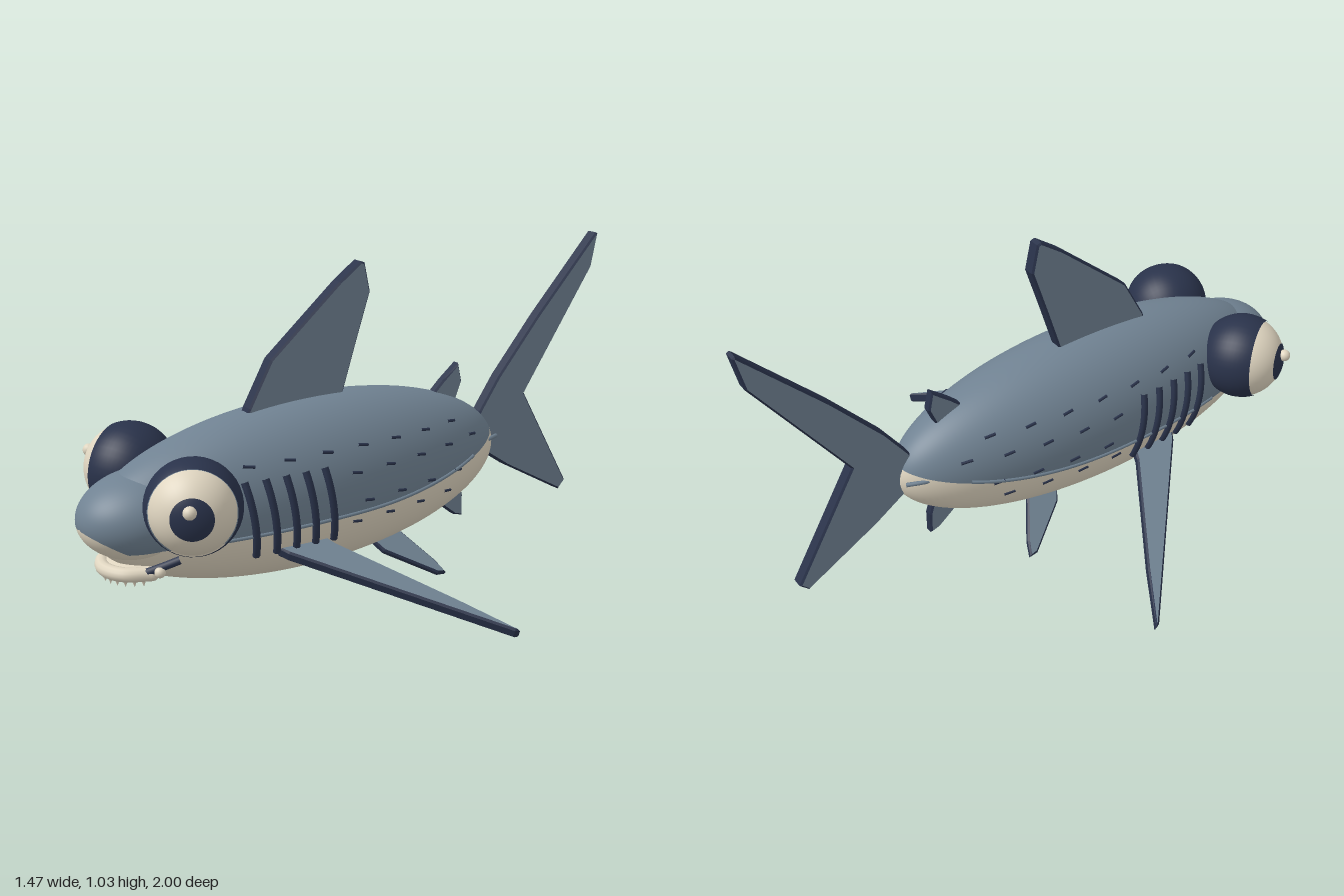
import * as THREE from 'three';

const mat = (name, color, side = THREE.FrontSide) => {
  const m = new THREE.MeshStandardMaterial({ color, side });
  m.name = name;
  return m;
};

export function createModel() {
  const root = new THREE.Group();
  const slate = mat('slate', 0x708292);
  const navy = mat('navy', 0x29324a);
  const cream = mat('cream', 0xdfd5c0);
  slate.side = cream.side = THREE.DoubleSide;

  const add = (name, geo, material, parent = root) => {
    const m = new THREE.Mesh(geo, material);
    m.name = name;
    parent.add(m);
    return m;
  };
  const V = (x, y, z) => new THREE.Vector3(x, y, z);
  const tube = (pts, r, seg = 12) =>
    new THREE.TubeGeometry(new THREE.CatmullRomCurve3(pts), seg, r, 8);

  // Ellipsoid split into an upper or lower shell along a height that varies with z
  function shell({ cy, cz, rx, ry, rz, edge }, upper) {
    const N = 64, M = 40, pos = [], nor = [], idx = [];
    for (let i = 0; i <= N; i++) {
      const phi = Math.PI * (0.001 + 0.998 * i / N), s = Math.sin(phi), z = cz + rz * Math.cos(phi);
      const a0 = Math.asin(THREE.MathUtils.clamp((edge(z) - cy) / (ry * s), -1, 1));
      const from = upper ? a0 : Math.PI - a0, to = upper ? Math.PI - a0 : 2 * Math.PI + a0;
      for (let j = 0; j <= M; j++) {
        const a = from + (to - from) * j / M, x = rx * s * Math.cos(a), y = ry * s * Math.sin(a);
        pos.push(x, cy + y, z);
        const n = V(x / rx ** 2, y / ry ** 2, (z - cz) / rz ** 2).normalize();
        nor.push(n.x, n.y, n.z);
        if (i < N && j < M) {
          const p = i * (M + 1) + j, q = p + M + 1;
          idx.push(p, q, p + 1, p + 1, q, q + 1);
        }
      }
    }
    const g = new THREE.BufferGeometry();
    g.setAttribute('position', new THREE.Float32BufferAttribute(pos, 3));
    g.setAttribute('normal', new THREE.Float32BufferAttribute(nor, 3));
    // Corners run counter-clockwise seen from outside
    g.setIndex(idx);
    return g;
  }

  // Body and snout, slate above and cream below
  const body = {
    cy: 0.36, cz: 0.22, rx: 0.235, ry: 0.275, rz: 0.745,
    edge: z => 0.3 + 0.11 * Math.max(0, (0.15 - z) / 0.67) ** 2,
  };
  const snout = {
    cy: 0.375, cz: 0.79, rx: 0.165, ry: 0.135, rz: 0.21,
    edge: z => 0.3 + 0.65 * Math.max(0, z - 0.9),
  };
  add('back', shell(body, true), slate);
  add('belly', shell(body, false), cream);
  add('snoutTop', shell(snout, true), slate);
  add('snoutUnderside', shell(snout, false), cream);

  // Point on the flank at a given height and z
  const flank = (y, z, side, out = 0) => {
    const q = 1 - ((y - body.cy) / body.ry) ** 2 - ((z - body.cz) / body.rz) ** 2;
    return V(side * (body.rx * Math.sqrt(Math.max(0, q)) + out), y, z);
  };

  // Flat fin with slate faces and navy rim, centred on its plane
  function finGeometry(points, t) {
    const b = 0.006;
    const g = new THREE.ExtrudeGeometry(new THREE.Shape(points.map(p => new THREE.Vector2(...p))), {
      depth: t - 2 * b, bevelEnabled: true, bevelThickness: b, bevelSize: b, bevelOffset: -b, bevelSegments: 1,
    });
    return g.translate(0, 0, b - t / 2);
  }
  const finMats = [slate, navy];

  // Upright fins, outlined as [z, y]
  const uprightFin = (name, pts, t) =>
    add(name, finGeometry(pts.map(([z, y]) => [-z, y]), t).rotateY(Math.PI / 2), finMats);
  uprightFin('dorsalFin', [[0.45, 0.6], [0.435, 0.635], [0.355, 0.775], [0.1, 0.985], [0.02, 1.04],
    [0.005, 1.035], [-0.015, 0.94], [0.04, 0.78], [0.1, 0.6]], 0.046);
  uprightFin('rearDorsalFin', [[-0.25, 0.5], [-0.27, 0.55], [-0.32, 0.595], [-0.385, 0.645],
    [-0.4, 0.58], [-0.375, 0.52], [-0.39, 0.46]], 0.034);
  uprightFin('analFin', [[-0.26, 0.24], [-0.3, 0.165], [-0.38, 0.1], [-0.415, 0.09],
    [-0.415, 0.165], [-0.39, 0.25]], 0.034);
  uprightFin('tailFin', [[-0.44, 0.37], [-0.48, 0.46], [-0.56, 0.57], [-0.73, 0.76], [-0.99, 1.025],
    [-1, 1.02], [-0.975, 0.905], [-0.68, 0.49], [-0.895, 0.12], [-0.865, 0.09], [-0.61, 0.235],
    [-0.5, 0.31]], 0.046);

  // Paired fins, outlined as [x, z] and sloping down from the root
  function pairedFin(name, pts, rootX, rootY, slope, t, side) {
    const flat = pts.map(([x, z]) => [side * (x - rootX) / Math.cos(slope), -z]);
    const g = finGeometry(flat, t).rotateX(-Math.PI / 2).rotateZ(-side * slope);
    add(name, g.translate(side * rootX, rootY, 0), finMats);
  }

  const eyeAxis = V(0.86, 0.08, 0.5).normalize();
  for (const side of [1, -1]) {
    const label = side > 0 ? 'left' : 'right';

    pairedFin(label + 'PectoralFin', [[0.17, 0.46], [0.22, 0.43], [0.725, -0.035], [0.73, -0.05],
      [0.56, 0.05], [0.23, 0.265], [0.17, 0.29]], 0.2, 0.225, 0.35, 0.034, side);
    pairedFin(label + 'PelvicFin', [[0.08, 0.04], [0.13, 0.01], [0.225, -0.14], [0.228, -0.17],
      [0.19, -0.155], [0.08, -0.08]], 0.09, 0.13, 0.71, 0.024, side);

    // Eye: one ball in three bands around its gaze axis
    const eye = new THREE.Group();
    eye.name = label + 'Eye';
    eye.position.set(side * 0.203, 0.445, 0.735);
    eye.quaternion.setFromUnitVectors(V(0, 1, 0), V(side * eyeAxis.x, eyeAxis.y, eyeAxis.z));
    root.add(eye);
    const band = (name, r, from, to, m) => add(name, new THREE.SphereGeometry(r, 40, 20, 0, Math.PI * 2,
      from * Math.PI / 180, (to - from) * Math.PI / 180), m, eye);
    band('pupil', 0.143, 0, 26, navy);
    band('eyeWhite', 0.14, 24, 64, cream);
    band('eyeSocket', 0.144, 63, 180, navy);
    add(label + 'EyeGlint', new THREE.SphereGeometry(0.02, 16, 12)
      .translate(side * 0.325, 0.482, 0.812), cream);

    // Gill slits
    for (let i = 0; i < 5; i++) {
      const z = 0.557 - 0.066 * i, pts = [];
      for (let k = 0; k <= 6; k++) pts.push(flank(0.475 - 0.04 * k, z - 0.0055 * k, side, 0.003));
      add(label + 'Gill' + (i + 1), tube(pts, 0.012), navy);
    }

    // Lateral ridge along the colour boundary
    const ridge = [];
    for (let z = 0.62; z > -0.42; z -= 0.08) ridge.push(flank(body.edge(z) + 0.006, z, side));
    add(label + 'LateralRidge', tube(ridge, 0.006, 40), slate);
    add(label + 'TailKeel', tube([V(side * 0.1, 0.38, -0.42), V(side * 0.085, 0.38, -0.47),
      V(side * 0.06, 0.375, -0.52)], 0.007), slate);

    // Short dashes in rows on the flank
    const rows = [[0.515, 0.53, 7], [0.44, 0.18, 5], [0.345, 0.14, 4], [0.28, 0.18, 4]];
    rows.forEach(([y, z0, n]) => {
      for (let i = 0; i < n; i++) {
        const z = z0 - 0.131 * i, drop = y > 0.5 ? 0.03 * Math.max(0, 0.2 - z) : 0;
        add(label + 'FlankDash', tube([flank(y - drop, z + 0.018, side), flank(y - drop - 0.006, z - 0.018, side)],
          0.005, 2), navy);
      }
    });

    // Mouth corner
    add(label + 'MouthCorner', tube([V(side * 0.168, 0.275, 0.765), V(side * 0.145, 0.258, 0.8),
      V(side * 0.11, 0.235, 0.845)], 0.013), navy);
    add(label + 'MouthCornerKnob', new THREE.SphereGeometry(0.017, 14, 10)
      .translate(side * 0.142, 0.24, 0.82), cream);
  }

  // Lower jaw with a rounded lip and small teeth
  const lip = new THREE.CatmullRomCurve3([V(-0.11, 0.227, 0.83), V(-0.07, 0.227, 0.9), V(0, 0.227, 0.928),
    V(0.07, 0.227, 0.9), V(0.11, 0.227, 0.83)]);
  add('lowerLip', new THREE.TubeGeometry(lip, 32, 0.022, 12), cream);
  for (const end of [0, 1]) {
    const p = lip.getPoint(end);
    add('lipEnd', new THREE.SphereGeometry(0.022, 14, 10).translate(p.x, p.y, p.z), cream);
  }
  add('jaw', new THREE.SphereGeometry(1, 28, 16).scale(0.11, 0.03, 0.12).translate(0, 0.228, 0.81), cream);
  for (let i = 0; i < 11; i++) {
    const p = lip.getPointAt(0.08 + 0.084 * i);
    add('tooth', new THREE.ConeGeometry(0.009, 0.024, 8).rotateX(Math.PI).translate(p.x, 0.2, p.z), cream);
  }
  return root;
}
